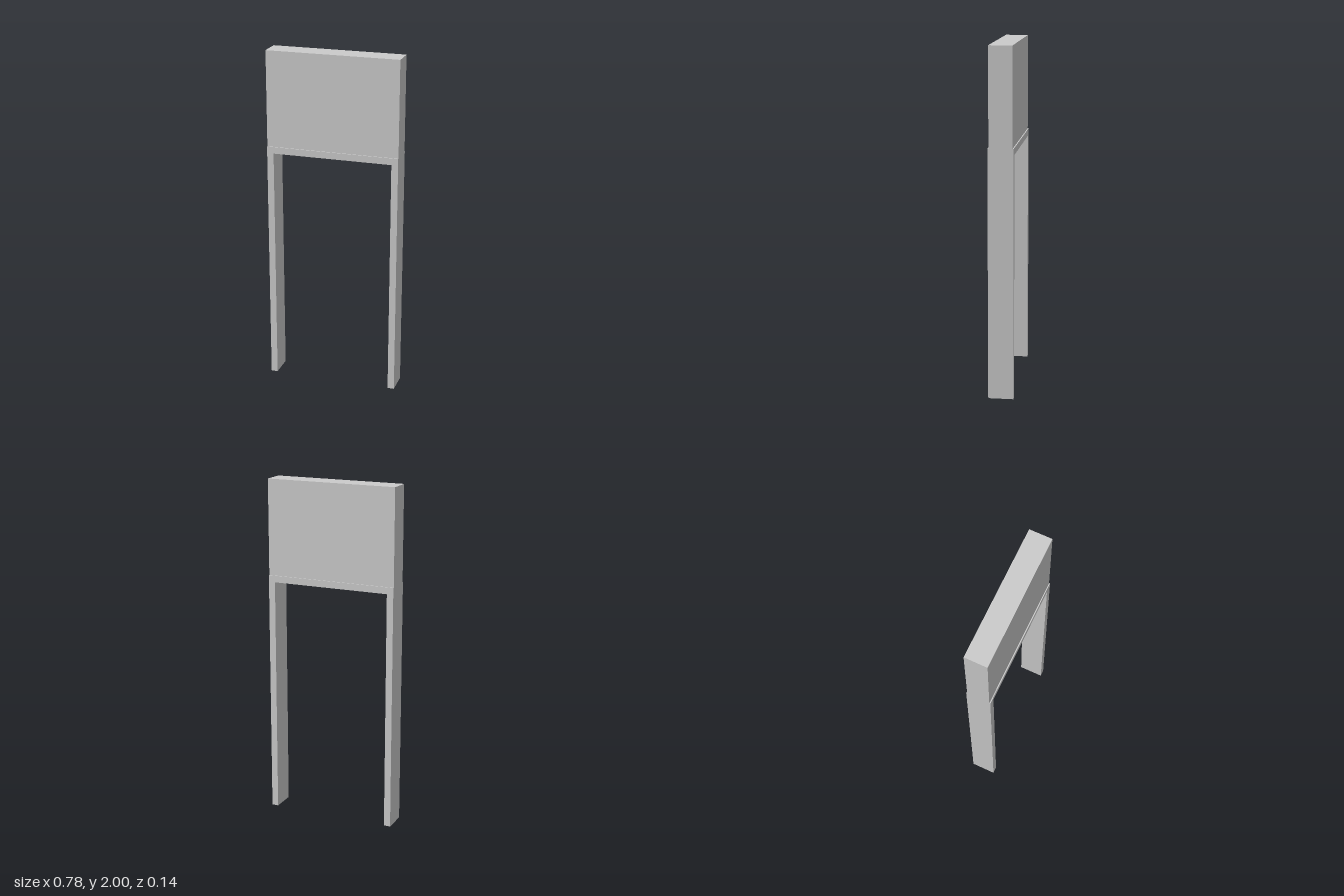
import * as THREE from 'three';

const WIDTH = 0.778, HEIGHT = 2, FRAME_TOP = 1.44, BAR = 0.039;
const FRAME_DEPTH = 0.144, PANEL_DEPTH = 0.132;

export function createModel() {
  const group = new THREE.Group();
  const material = new THREE.MeshStandardMaterial({ color: 0xcccccc, flatShading: true });
  const add = (name, geometry) => {
    const mesh = new THREE.Mesh(geometry, material);
    mesh.name = name;
    group.add(mesh);
    return mesh;
  };

  // Door frame: two jambs and a lintel as one continuous outline
  const w = WIDTH / 2, inner = w - BAR, under = FRAME_TOP - BAR;
  const outline = new THREE.Shape([
    [-w, 0], [-inner, 0], [-inner, under], [inner, under],
    [inner, 0], [w, 0], [w, FRAME_TOP], [-w, FRAME_TOP],
  ].map(([x, y]) => new THREE.Vector2(x, y)));
  const frame = new THREE.ExtrudeGeometry(outline, { depth: FRAME_DEPTH, bevelEnabled: false });
  add('doorFrame', frame.translate(0, 0, -FRAME_DEPTH / 2));

  // Slightly thinner solid panel standing on the lintel
  const panelHeight = HEIGHT - FRAME_TOP;
  add('upperPanel', new THREE.BoxGeometry(WIDTH, panelHeight, PANEL_DEPTH))
    .position.y = FRAME_TOP + panelHeight / 2;

  return group;
}
